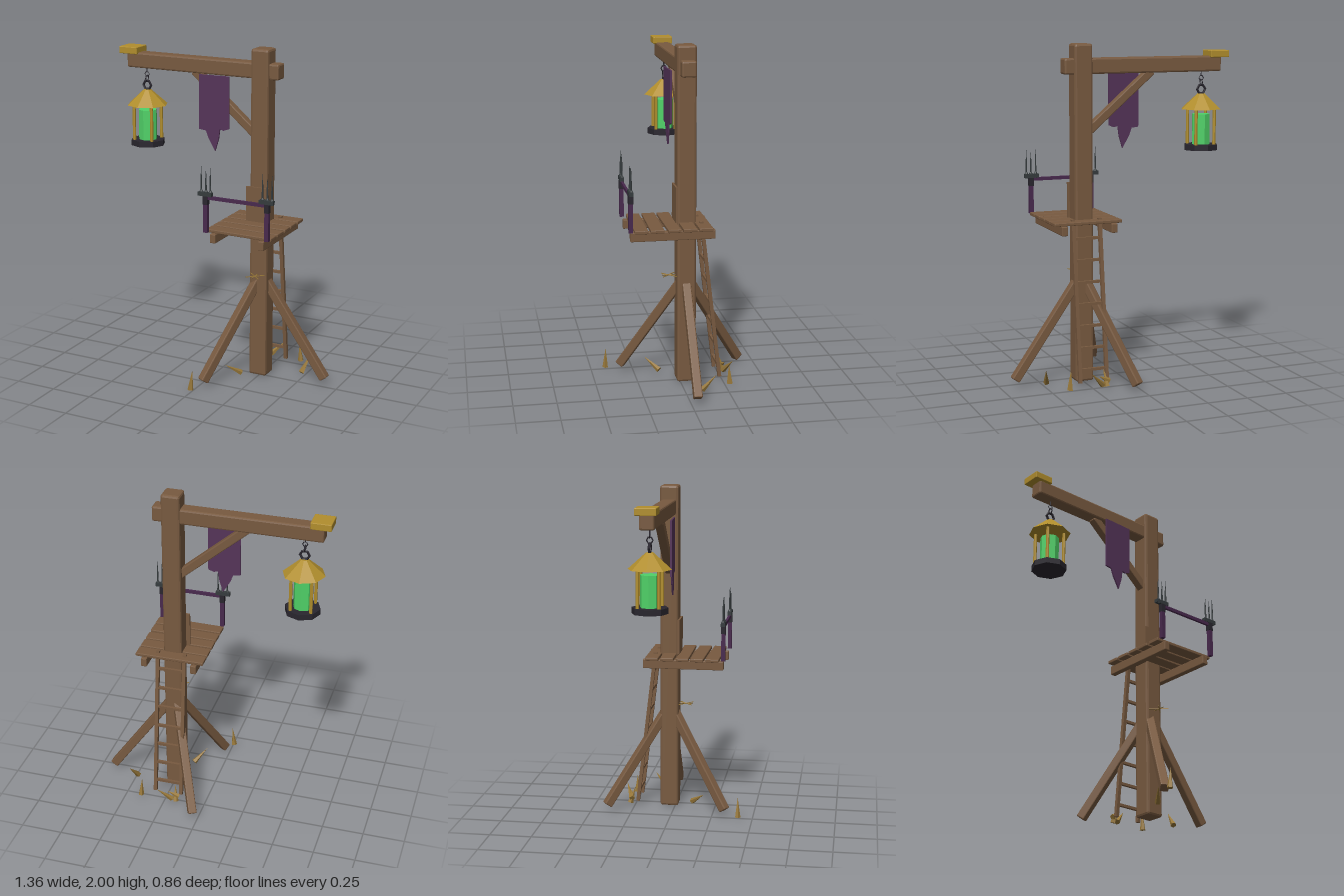
import * as THREE from 'three';
import { RoundedBoxGeometry } from 'three/addons/geometries/RoundedBoxGeometry.js';

const mat = (name, color, side = THREE.FrontSide) => {
  const m = new THREE.MeshStandardMaterial({ color, flatShading: true, side });
  m.name = name;
  return m;
};

export function createModel() {
  const model = new THREE.Group();
  model.name = 'lanternWatchPost';
  const wood = mat('wood', 0x785a40);
  const gold = mat('gold', 0xb18e2d);
  const straw = mat('straw', 0x98783a);
  const cloth = mat('purpleCloth', 0x553459, THREE.DoubleSide);
  const purple = mat('darkPurple', 0x48294d);
  const iron = mat('blackIron', 0x29262e);
  const steel = mat('greySteel', 0x353b3d);
  const glass = mat('greenGlass', 0x50d268, THREE.DoubleSide);
  const PX = 0.24, PZ = -0.036; // post axis
  const V = (x, y, z) => new THREE.Vector3(x, y, z);

  const add = (name, geo, material, x = 0, y = 0, z = 0, parent = model) => {
    const m = new THREE.Mesh(geo, material);
    m.name = name;
    m.position.set(x, y, z);
    parent.add(m);
    return m;
  };
  const box = (name, material, w, h, d, x, y, z, parent = model, bevel = 0) =>
    add(name, bevel ? new RoundedBoxGeometry(w, h, d, 1, bevel) : new THREE.BoxGeometry(w, h, d),
      material, x, y, z, parent);
  // places a y-aligned geometry between two points
  const between = (name, makeGeo, material, a, b, parent = model) => {
    const dir = b.clone().sub(a);
    const m = add(name, makeGeo(dir.length()), material, 0, 0, 0, parent);
    m.position.copy(a).add(b).multiplyScalar(0.5);
    m.quaternion.setFromUnitVectors(V(0, 1, 0), dir.normalize());
    return m;
  };
  const timber = (w, d) => (len) => new RoundedBoxGeometry(w, len, d, 1, 0.006);

  // Main post, arm and diagonal brace
  box('post', wood, 0.112, 1.995, 0.112, PX, 1.0025, PZ, model, 0.014);
  box('arm', wood, 0.995, 0.092, 0.085, -0.145, 1.871, PZ - 0.002, model, 0.01);
  box('armCap', gold, 0.12, 0.042, 0.12, -0.626, 1.929, PZ - 0.002, model, 0.004);
  between('armBrace', timber(0.05, 0.05), wood, V(-0.2, 1.835, PZ), V(0.25, 1.448, PZ));

  // Three ground struts around the post
  for (let i = 0; i < 3; i++) {
    const pivot = new THREE.Group();
    pivot.name = 'strut' + (i + 1);
    pivot.position.set(PX, 0, PZ);
    pivot.rotation.y = (i * Math.PI * 2) / 3;
    model.add(pivot);
    between('strutBeam', timber(0.052, 0.05), wood, V(0.42, 0.045, 0), V(0.01, 0.635, 0), pivot);
  }

  // Platform: joists and loosely laid planks
  for (const x of [0.086, 0.392]) box('joist', wood, 0.036, 0.054, 0.49, x, 0.934, 0.064, model, 0.004);
  const planks = [[-0.122, 0, 0.08], [-0.03, 0, 0.08], [0.062, 0.008, 0.075], [0.155, -0.018, 0.078], [0.248, -0.014, 0.078]];
  for (const [z, turn, depth] of planks) {
    box('plank', wood, 0.418, 0.02, depth, 0.24, 0.971, z, model, 0.004).rotation.y = turn;
  }
  box('backBoard', wood, 0.14, 0.21, 0.012, 0.235, 1.085, 0.025);

  // Ladder leaning against the back plank
  const ladder = new THREE.Group();
  ladder.name = 'ladder';
  model.add(ladder);
  const railZ = (y) => -0.228 + ((y - 0.04) * 0.112) / 0.945;
  for (const x of [0.156, 0.322]) {
    between('ladderRail', (l) => new THREE.BoxGeometry(0.021, l, 0.021), wood,
      V(x, 0.04, railZ(0.04)), V(x, 0.99, railZ(0.99)), ladder);
  }
  for (let i = 0; i < 7; i++) {
    const y = 0.115 + i * 0.127;
    box('ladderRung', wood, 0.166, 0.016, 0.016, 0.239, y, railZ(y), ladder);
  }

  // Front railing with spiked tops
  const railing = new THREE.Group();
  railing.name = 'railing';
  model.add(railing);
  box('handRail', purple, 0.4, 0.02, 0.014, 0.24, 1.178, 0.311, railing);
  for (const [x, barX] of [[0.047, 0.043], [0.433, 0.429]]) {
    box('railPost', purple, 0.025, 0.21, 0.024, x, 1.075, 0.311, railing);
    box('railPostCollar', iron, 0.028, 0.05, 0.028, x, 1.162, 0.311, railing);
    box('spikeBar', steel, 0.088, 0.022, 0.024, barX, 1.198, 0.311, railing);
    [[-0.026, 1.36], [0.004, 1.34], [0.032, 1.355]].forEach(([dx, top]) => {
      const s = [[0.011, 1.185], [0.011, 1.212], [0.005, 1.222], [0.004, 1.29], [0.0005, top]];
      add('spike', new THREE.LatheGeometry(s.map(([r, y]) => new THREE.Vector2(r, y)), 6),
        steel, barX + dx, 0, 0.311, railing);
    });
  }

  // Torn banner hanging from the arm
  const flag = new THREE.Shape([
    [-0.095, 0], [-0.095, -0.325], [-0.052, -0.33], [-0.035, -0.375], [0.008, -0.448],
    [0.03, -0.375], [0.038, -0.315], [0.062, -0.322], [0.096, -0.31], [0.096, 0],
  ].map(([x, y]) => new THREE.Vector2(x, y)));
  const banner = add('banner', new THREE.ExtrudeGeometry(flag, { depth: 0.01, bevelEnabled: false }),
    cloth, -0.05, 1.826, 0.014);
  banner.rotation.y = 0.04;

  // Lantern
  const lantern = new THREE.Group();
  lantern.name = 'lantern';
  lantern.position.set(-0.53, 0, PZ - 0.002);
  model.add(lantern);
  const cyl = (name, m, rt, rb, y0, y1, open = false, sides = 8) =>
    add(name, new THREE.CylinderGeometry(rt, rb, y1 - y0, sides, 1, open), m, 0, (y0 + y1) / 2, 0, lantern);
  cyl('lanternBase', iron, 0.104, 0.104, 1.354, 1.388);
  cyl('lanternGlass', glass, 0.056, 0.056, 1.385, 1.57);
  cyl('lanternRoof', gold, 0.022, 0.124, 1.6, 1.692);
  for (const sx of [-1, 1]) for (const sz of [-1, 1]) {
    add('lanternBar', new THREE.CylinderGeometry(0.01, 0.01, 0.23, 6), gold, sx * 0.06, 1.495, sz * 0.06, lantern);
  }
  add('lanternRing', new THREE.TorusGeometry(0.027, 0.008, 5, 6), iron, 0, 1.718, 0, lantern);
  add('chainLink', new THREE.TorusGeometry(0.018, 0.004, 4, 6), iron, 0, 1.76, 0, lantern).rotation.y = Math.PI / 2;
  add('chainLink', new THREE.TorusGeometry(0.015, 0.003, 4, 6), iron, 0, 1.785, 0, lantern);
  cyl('chainHook', iron, 0.003, 0.003, 1.795, 1.83, false, 5);

  // Straw tufts on the ground: base point, tip point
  const tufts = [
    [-0.008, 0.015, 0.412, 0.003, 0.138, 0.41],
    [0.402, 0.02, -0.275, 0.395, 0.135, -0.27],
    [0.485, 0.025, -0.093, 0.513, 0.122, -0.172],
    [0.16, 0.05, -0.268, 0.225, 0.085, -0.28],
    [0.2, 0.03, -0.275, 0.285, 0.115, -0.318],
    [0.175, 0.02, -0.28, 0.185, 0.12, -0.25],
    [0.175, 0.045, 0.11, 0.11, 0.11, 0.19],
  ];
  for (const [ax, ay, az, bx, by, bz] of tufts) {
    between('strawTuft', (l) => new THREE.ConeGeometry(0.018, l, 5), straw, V(ax, ay, az), V(bx, by, bz));
  }
  // Loose stalks caught on the post
  for (const [ax, bx] of [[0.195, 0.28], [0.285, 0.2], [0.24, 0.24]]) {
    between('looseStalk', (l) => new THREE.CylinderGeometry(0.003, 0.003, l, 4), straw,
      V(ax, 0.655, 0.022), V(bx, 0.655, 0.1));
  }
  return model;
}
